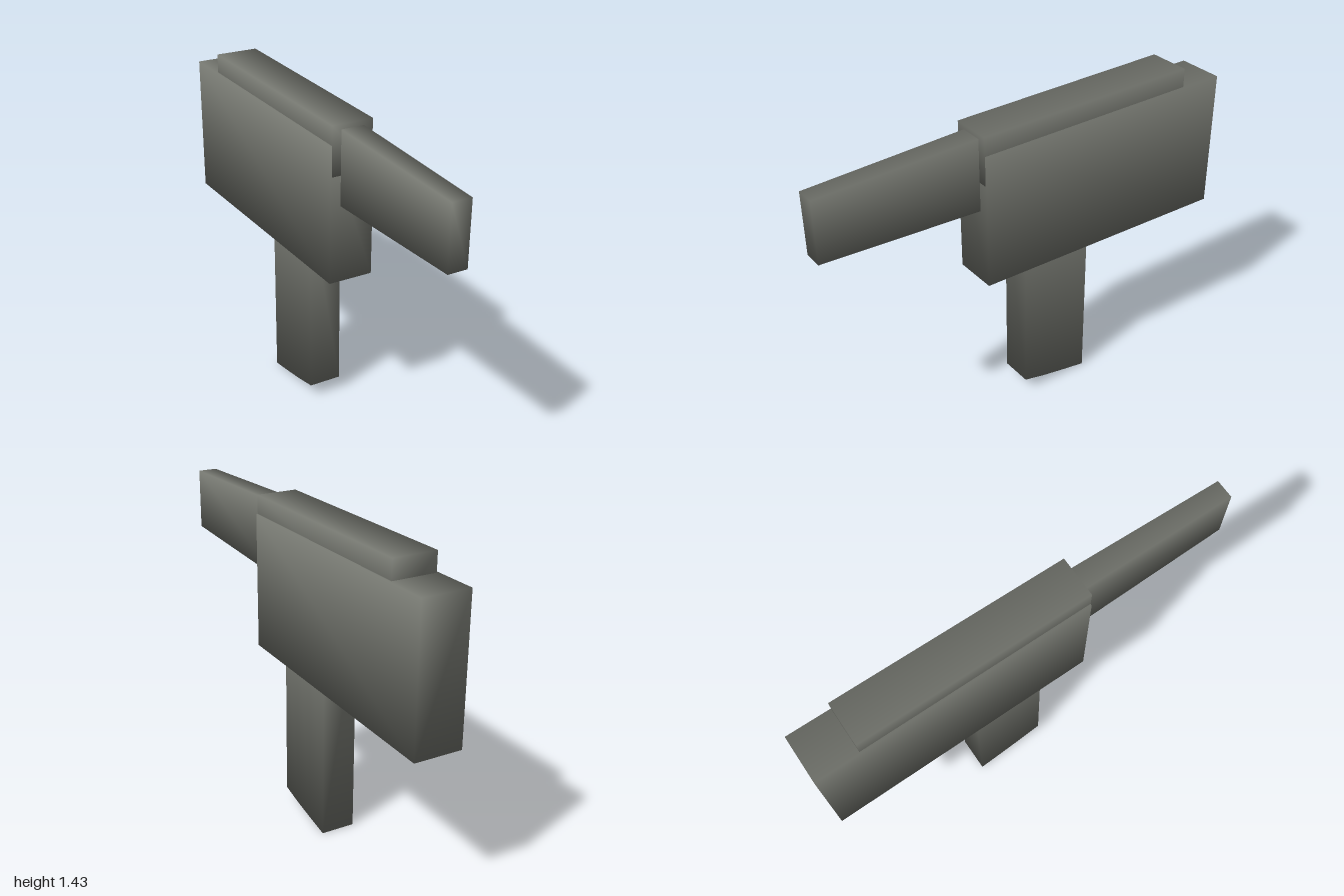
import * as THREE from 'three';

const material = new THREE.MeshStandardMaterial({ color: 0x74766f });

// Rectangular loft along z, front to back. Each section: [z, halfWidth, bottomY, topY].
// Corner normals point outward in x and y only, giving soft shading over the long edges.
function loft(name, sections) {
  const positions = [], normals = [], index = [];
  const corners = [[1, 0], [1, 1], [-1, 1], [-1, 0]];
  for (const [z, halfWidth, bottom, top] of sections) {
    for (const [side, up] of corners) {
      positions.push(side * halfWidth, up ? top : bottom, z);
      normals.push(side * Math.SQRT1_2, (up ? 1 : -1) * Math.SQRT1_2, 0);
    }
  }
  const last = (sections.length - 1) * 4;
  for (let row = 0; row < last; row += 4) {
    for (let i = 0; i < 4; i++) {
      const a = row + i, b = row + (i + 1) % 4;
      index.push(a, a + 4, b, b, a + 4, b + 4);
    }
  }
  // End caps
  index.push(0, 1, 2, 0, 2, 3);
  index.push(last, last + 2, last + 1, last, last + 3, last + 2);

  const geometry = new THREE.BufferGeometry();
  geometry.setAttribute('position', new THREE.Float32BufferAttribute(positions, 3));
  geometry.setAttribute('normal', new THREE.Float32BufferAttribute(normals, 3));
  geometry.setIndex(index);
  const mesh = new THREE.Mesh(geometry, material);
  mesh.name = name;
  return mesh;
}

export function createModel() {
  const model = new THREE.Group();
  model.name = 'handheldTool';
  model.add(
    // Tall main housing, slightly larger at the back
    loft('body', [[0.265, 0.102, 0.715, 1.335], [-1, 0.109, 0.702, 1.346]]),
    // Raised cover along the top
    loft('topCover', [[0.266, 0.094, 1.2, 1.42], [-0.8, 0.099, 1.2, 1.431]]),
    // Nozzle narrowing toward the front
    loft('nozzle', [[1, 0.044, 1.088, 1.37], [0.2, 0.053, 1.062, 1.4]]),
    // Handle with a gently curved, sloping foot
    loft('handle', [
      [0.05, 0.075, 0.065, 0.98],
      [-0.06, 0.076, 0.04, 0.98],
      [-0.17, 0.077, 0.02, 0.98],
      [-0.29, 0.078, 0, 0.98],
    ]),
  );
  return model;
}
